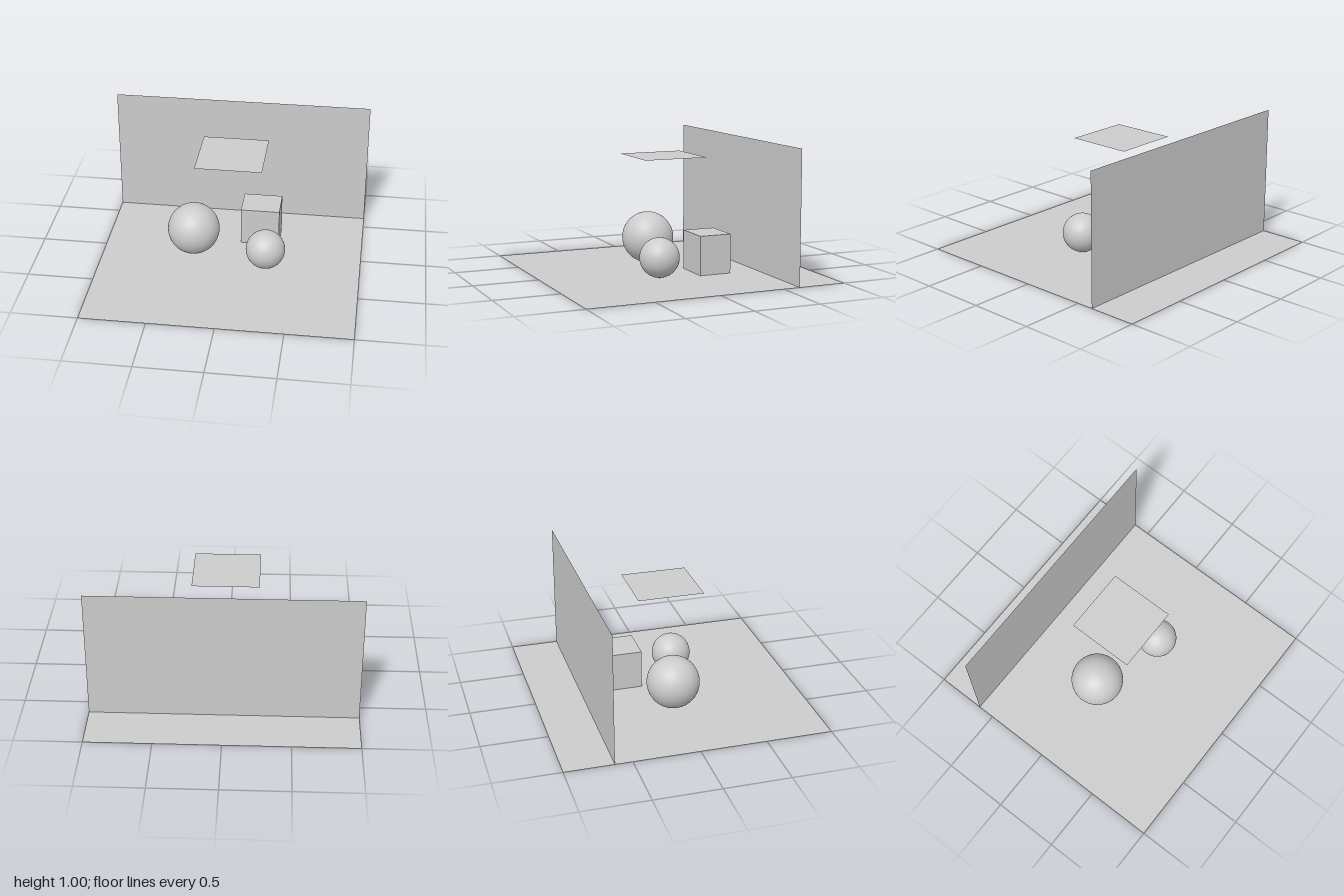
import * as THREE from 'three';

export function createModel() {
  const model = new THREE.Group();
  const grey = new THREE.MeshStandardMaterial({ color: 0xcccccc, side: THREE.DoubleSide });
  grey.name = 'light grey';

  const add = (name, geometry, x, y, z, rotationX = 0) => {
    const mesh = new THREE.Mesh(geometry, grey);
    mesh.name = name;
    mesh.position.set(x, y, z);
    mesh.rotation.x = rotationX;
    model.add(mesh);
  };

  // Flat sheets: floor, upright back wall and overhead panel
  add('floor', new THREE.PlaneGeometry(2, 2), 0, 0, 0, -Math.PI / 2);
  add('backWall', new THREE.PlaneGeometry(2, 1), 0, 0.5, -0.63);
  add('overheadPanel', new THREE.PlaneGeometry(0.5, 0.5), 0, 0.875, 0, -Math.PI / 2);

  // Objects standing on the floor
  add('largeBall', new THREE.SphereGeometry(0.2, 64, 40), -0.3, 0.2, 0);
  add('smallBall', new THREE.SphereGeometry(0.15, 64, 40), 0.275, 0.15, 0.15);
  add('block', new THREE.BoxGeometry(0.3, 0.3, 0.25), 0.2, 0.15, -0.275);

  return model;
}
